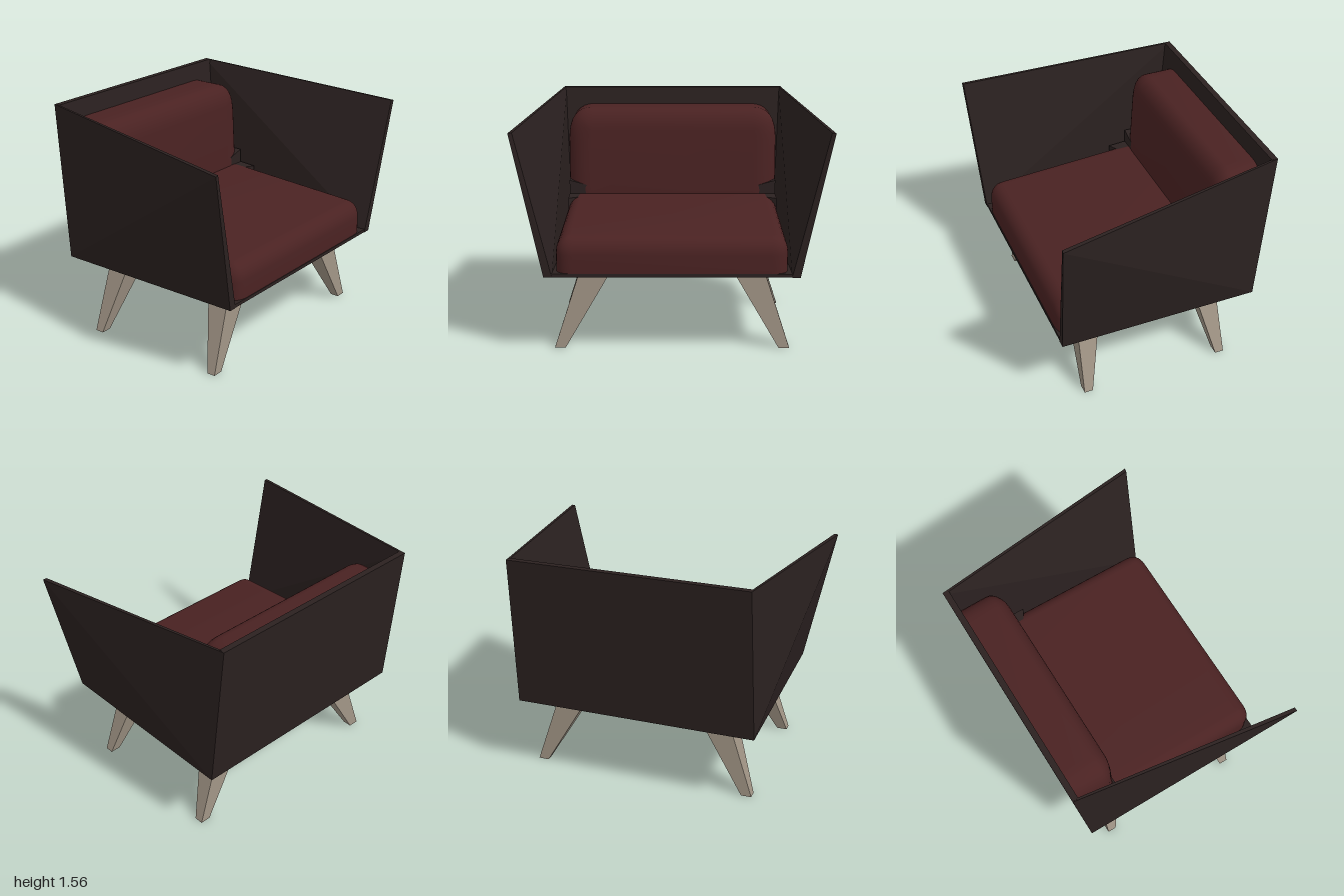
import * as THREE from 'three';
import { toCreasedNormals } from 'three/addons/utils/BufferGeometryUtils.js';
import { ConvexGeometry } from 'three/addons/geometries/ConvexGeometry.js';

const mat = (name, color) => {
  const m = new THREE.MeshStandardMaterial({ color });
  m.name = name;
  return m;
};

export function createModel() {
  const dark = mat('dark upholstery', 0x2b2120);
  const red = mat('red upholstery', 0x4a2222);
  const wood = mat('pale wood', 0xa09485);
  const group = new THREE.Group();
  group.name = 'armchair';

  const add = (name, geometry, material) => {
    const mesh = new THREE.Mesh(geometry, material);
    mesh.name = name;
    group.add(mesh);
  };
  // Flat-sided solid around a few corner points
  const solid = (name, pts, material) =>
    add(name, new ConvexGeometry(pts.map(p => new THREE.Vector3(...p))), material);
  // Four corners of a level rectangle
  const rect = (y, x0, x1, z0, z1) => [[x0, y, z0], [x1, y, z0], [x1, y, z1], [x0, y, z1]];

  // Padded slab with soft corners; each vertex is then moved by a rule
  const cushion = (name, w, h, rx, ry, depth, bevelSize, bevelThickness, place, rule) => {
    const a = w / 2, b = h / 2;
    const s = new THREE.Shape();
    s.moveTo(-a + rx, -b);
    s.lineTo(a - rx, -b);
    s.quadraticCurveTo(a, -b, a, -b + ry);
    s.lineTo(a, b - ry);
    s.quadraticCurveTo(a, b, a - rx, b);
    s.lineTo(-a + rx, b);
    s.quadraticCurveTo(-a, b, -a, b - ry);
    s.lineTo(-a, -b + ry);
    s.quadraticCurveTo(-a, -b, -a + rx, -b);
    const g = new THREE.ExtrudeGeometry(s, {
      depth, curveSegments: 8, bevelEnabled: true, bevelSegments: 7,
      bevelSize, bevelThickness, bevelOffset: -bevelSize,
    });
    place(g);
    const p = g.attributes.position, v = new THREE.Vector3();
    for (let i = 0; i < p.count; i++) {
      rule(v.fromBufferAttribute(p, i));
      p.setXYZ(i, v.x, v.y, v.z);
    }
    add(name, toCreasedNormals(g, 0.8), red);
  };

  // Floor pan with a shallow tapered underside
  solid('floorPan', [
    ...rect(0.497, -0.47, 0.53, -0.6, 0.6),
    ...rect(0.523, -0.64, 0.7, -0.805, 0.805),
    ...rect(0.545, -0.64, 0.7, -0.765, 0.765),
  ], dark);

  // Leaning back panel
  solid('backPanel', [
    ...rect(0.523, -0.64, -0.6, -0.8, 0.8),
    ...rect(1.56, -0.742, -0.702, -0.787, 0.787),
  ], dark);

  for (const s of [1, -1]) {
    const side = s > 0 ? 'left' : 'right';

    // Flaring arm panel, thinner towards the top
    solid(side + 'ArmPanel', [
      [0.703, 0.523, 0.81], [0.742, 1.445, 1.0], [-0.742, 1.56, 0.79], [-0.64, 0.523, 0.81],
      [0.703, 0.523, 0.757], [0.738, 1.448, 0.975], [-0.742, 1.56, 0.776], [-0.64, 0.523, 0.742],
    ].map(([x, y, z]) => [x, y, z * s]), dark);

    // Dark corner gussets where seat and back cushion meet
    const seatTri = [[-0.37, 0.5], [-0.37, 0.735], [-0.25, 0.735]];
    solid(side + 'SeatGusset', seatTri.flatMap(([x, z]) => {
      const top = 0.833 - 0.07 * (x + 0.37);
      return [[x, top, z * s], [x, 0.56, z * s]];
    }), dark);
    const backTri = [[0.8, 0.4], [0.835, 0.4], [0.8, 0.735], [0.93, 0.735], [0.865, 0.68]];
    solid(side + 'BackGusset', backTri.flatMap(([y, z]) =>
      [[-0.6, y, z * s], [-0.375, y, z * s]]), dark);

    // Splayed tapered legs
    solid(side + 'RearLeg', [
      ...rect(0.505, -0.465, -0.3, 0.4 * s, 0.6 * s),
      ...rect(0, -0.48, -0.42, 0.695 * s, 0.765 * s),
    ], wood);
    solid(side + 'FrontLeg', [
      ...rect(0.505, 0.37, 0.53, 0.4 * s, 0.6 * s),
      ...rect(0, 0.487, 0.545, 0.695 * s, 0.765 * s),
    ], wood);
  }

  // Dark lip under the back cushion
  solid('rearLip', [
    ...rect(0.545, -0.6, -0.37, -0.735, 0.735),
    ...rect(0.832, -0.62, -0.37, -0.735, 0.735),
  ], dark);

  // Seat cushion, sloping gently to the front
  cushion('seatCushion', 1.155, 1.475, 0.11, 0.11, 0.3, 0.09, 0.11,
    g => g.rotateX(-Math.PI / 2).translate(0.118, 0.425, 0),
    v => {
      v.y = Math.max(0.54, v.y - 0.06 * (v.x + 0.37));
    });

  // Back cushion, leaning with the panel
  cushion('backCushion', 1.48, 0.74, 0.17, 0.22, 0.19, 0.15, 0.1,
    g => g.rotateY(Math.PI / 2).translate(-0.66, 1.07, 0),
    v => {
      v.x = Math.max(-0.62 - 0.097 * (v.y - 0.525), v.x - 0.05 * (v.y - 0.83));
    });

  return group;
}
